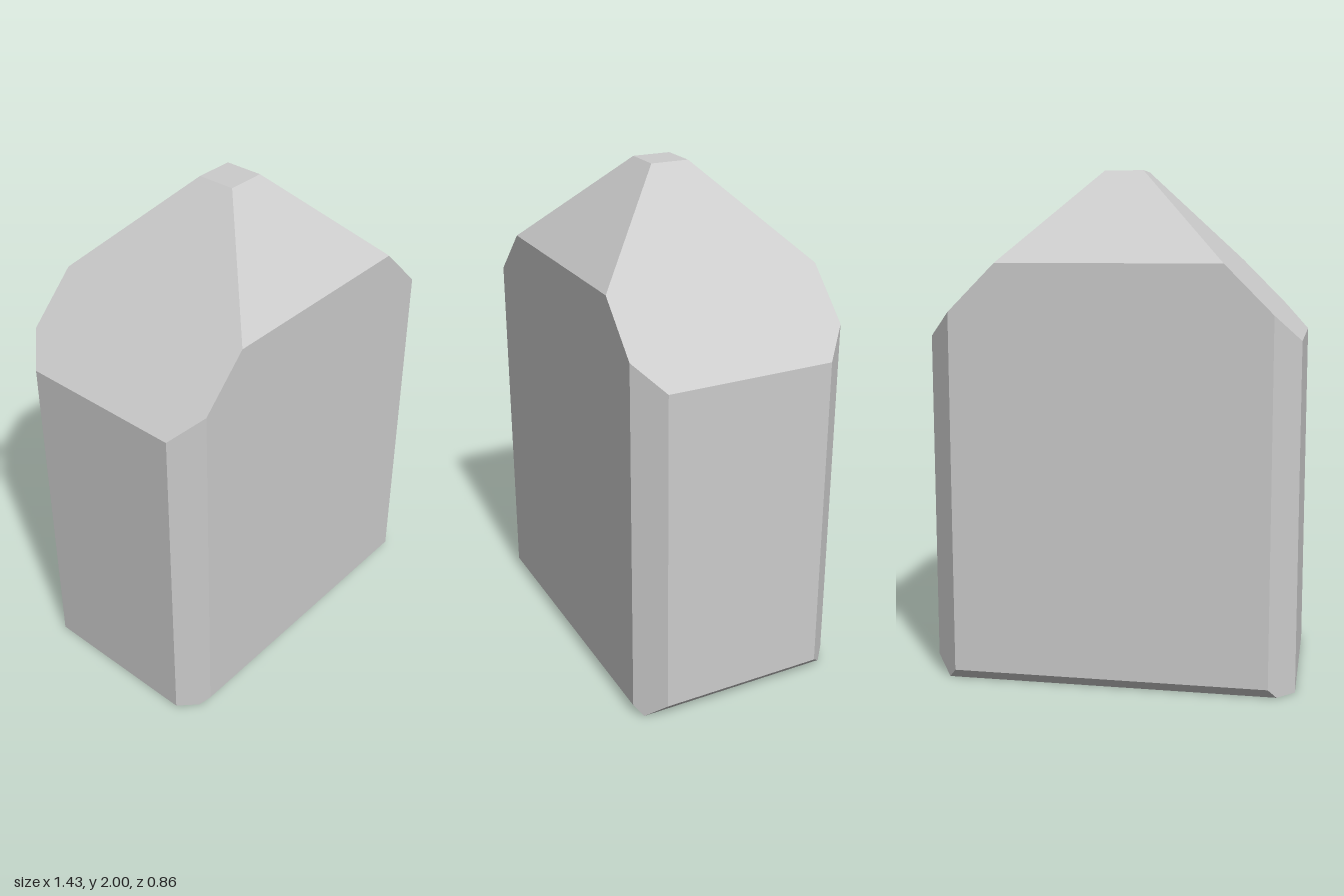
import * as THREE from 'three';
import { ConvexGeometry } from 'three/addons/geometries/ConvexGeometry.js';

const HALF_W = 0.717;   // half width
const HALF_D = 0.432;   // half depth
const CORNER = 1.05;    // x + z on the vertical corner bevels
const SLOPE = 2.077;    // height + offset on the 45 degree roof planes
const TOP = 2;

export function createModel() {
  const group = new THREE.Group();
  group.name = 'facetedBlock';

  const points = [];
  // adds a corner and its mirror front to back
  const pair = (x, y, z) => points.push(new THREE.Vector3(x, y, z), new THREE.Vector3(x, y, -z));

  const bevelX = CORNER - HALF_D;
  const bevelZ = CORNER - HALF_W;
  const cap = SLOPE - TOP;
  const ridgeX = SLOPE - (SLOPE - HALF_D);

  for (const s of [-1, 1]) {
    pair(s * cap, TOP, cap);                        // small flat cap
    pair(s * ridgeX, SLOPE - HALF_D, HALF_D);       // foot of the front and back roof
    pair(s * bevelX, SLOPE - bevelX, HALF_D);       // side roof meets the corner bevel
    pair(s * HALF_W, SLOPE - HALF_W, bevelZ);       // side roof meets the side wall
    pair(s * bevelX, 0.04, HALF_D);                 // lower edge of front and back walls
    pair(s * 0.65, 0, 0.4);                         // base corners
  }
  pair(HALF_W, 0.067, bevelZ);                      // left wall ends above a bottom bevel
  pair(-HALF_W, 0, bevelZ);                         // right wall runs down to the base

  const body = new THREE.Mesh(
    new ConvexGeometry(points),
    new THREE.MeshStandardMaterial({ color: 0xcccccc, flatShading: true })
  );
  body.name = 'body';
  group.add(body);
  return group;
}
